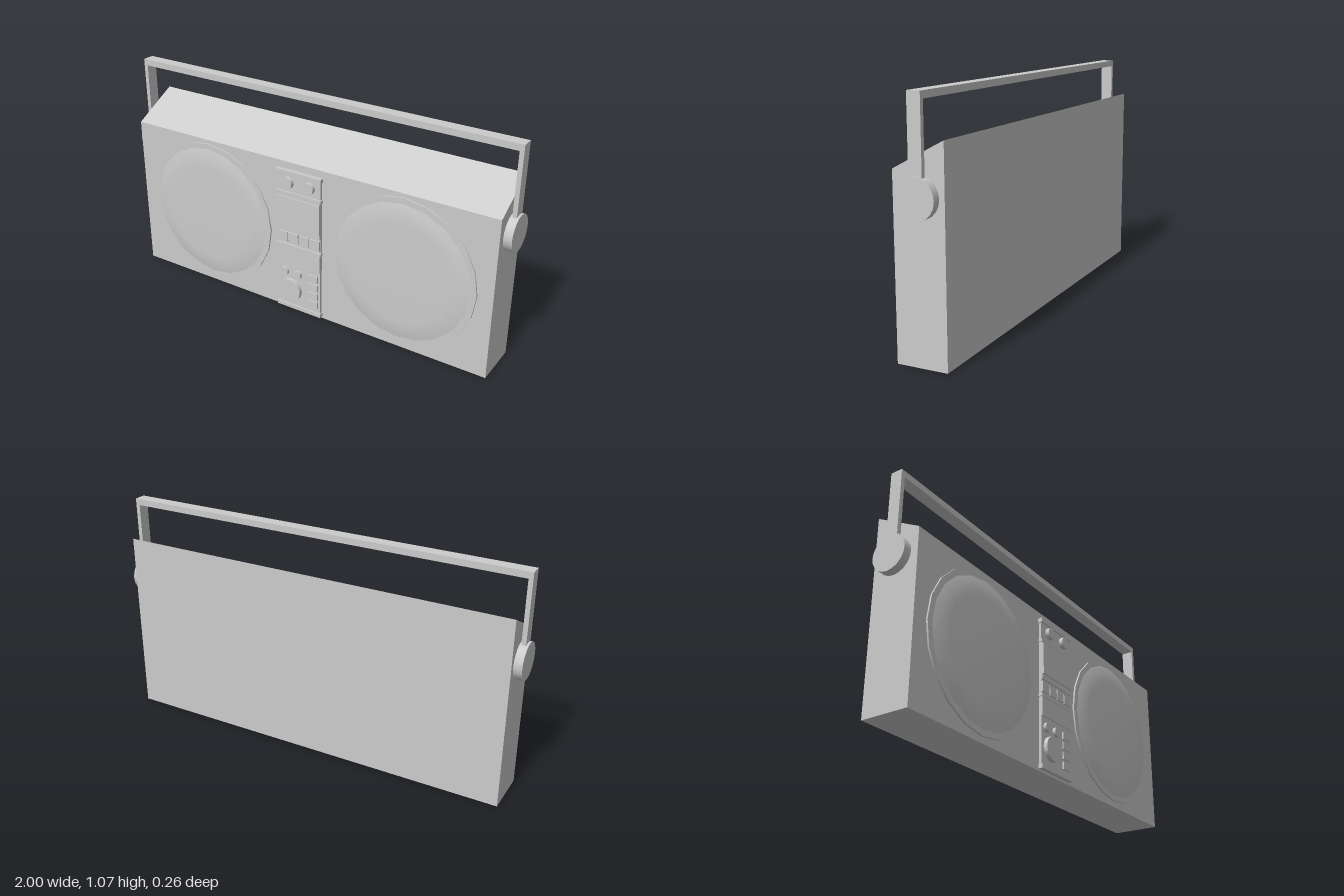
import * as THREE from 'three';

export function createModel() {
  const model = new THREE.Group();
  const mat = new THREE.MeshStandardMaterial({ color: 0xcccccc });
  const FRONT = 0.097; // front face of the case

  function add(name, geometry, x = 0, y = 0, z = 0) {
    const mesh = new THREE.Mesh(geometry, mat);
    mesh.name = name;
    mesh.position.set(x, y, z);
    model.add(mesh);
    return mesh;
  }

  // Box given by its limits
  function block(name, x0, x1, y0, y1, z0, z1) {
    return add(name, new THREE.BoxGeometry(x1 - x0, y1 - y0, z1 - z0),
      (x0 + x1) / 2, (y0 + y1) / 2, (z0 + z1) / 2);
  }

  // Round control standing out of the front panel
  function dial(name, x, y, r, z1) {
    const depth = z1 - FRONT;
    const g = new THREE.CylinderGeometry(r, r, depth, 20).rotateX(Math.PI / 2);
    return add(name, g, x, y, FRONT + depth / 2);
  }

  // Case: side profile with a sloping top, extruded across the width
  const profile = new THREE.Shape([
    [-0.097, 0], [0.128, 0], [0.128, 0.89], [-0.097, 0.77],
  ].map(([a, b]) => new THREE.Vector2(a, b)));
  const caseGeo = new THREE.ExtrudeGeometry(profile, { depth: 1.924, bevelEnabled: false });
  caseGeo.translate(0, 0, -0.962).rotateY(Math.PI / 2);
  add('case', caseGeo);

  // Handle bar, arms and pivots
  block('handleBar', -0.99, 0.99, 1.037, 1.067, -0.05, 0.008);
  for (const s of [-1, 1]) {
    const side = s > 0 ? 'left' : 'right';
    add(side + 'HandleArm', new THREE.BoxGeometry(0.02, 0.377, 0.058), s * 0.98, 0.8485, -0.021);
    const pivot = new THREE.CylinderGeometry(0.084, 0.084, 0.038, 20).rotateZ(Math.PI / 2);
    add(side + 'HandlePivot', pivot, s * 0.981, 0.67, -0.021);

    // Speaker: thin rim and a softly raised grille
    const rim = new THREE.CylinderGeometry(0.363, 0.363, 0.008, 20).rotateX(Math.PI / 2);
    add(side + 'SpeakerRim', rim, s * 0.528, 0.39, FRONT + 0.004);
    const curve = [[0.355, 0.004], [0.335, 0.008], [0.305, 0.014], [0.25, 0.02], [0, 0.02]];
    const grille = new THREE.LatheGeometry(
      curve.map(([r, h]) => new THREE.Vector2(r, h)).reverse(), 20);
    // Lathe faces are wound for a profile running upward
    const index = grille.index.array;
    for (let i = 0; i < index.length; i += 3) {
      [index[i], index[i + 1]] = [index[i + 1], index[i]];
    }
    const n = grille.attributes.normal;
    for (let i = 0; i < n.count; i++) {
      if (n.getY(i) < 0) n.setXYZ(i, -n.getX(i), -n.getY(i), -n.getZ(i));
    }
    grille.rotateX(Math.PI / 2);
    const mesh = add(side + 'SpeakerGrille', grille, s * 0.528, 0.39, FRONT);
    mesh.material = mat.clone();
    mesh.material.side = THREE.DoubleSide;
  }

  // Control panel sections and trim strips
  block('panelBase', -0.118, 0.118, 0.02, 0.72, FRONT, 0.11);
  block('tapeDoor', -0.118, 0.118, 0.455, 0.605, FRONT, 0.123);
  block('tapeFrame', -0.118, 0.118, 0.43, 0.615, FRONT, 0.117);
  block('displayPanel', -0.118, 0.118, 0.255, 0.345, FRONT, 0.115);
  for (const [y0, y1] of [[0.715, 0.735], [0.615, 0.63], [0.345, 0.358], [0.01, 0.03]]) {
    block('trimStrip', -0.123, 0.123, y0, y1, FRONT, 0.118);
  }

  // Row of tape keys and column of small buttons
  for (let i = 0; i < 4; i++) {
    const x = -0.0885 + i * 0.059;
    block('tapeKey', x - 0.027, x + 0.027, 0.37, 0.42, FRONT, 0.117);
    const y = 0.07 + i * 0.047;
    block('sideButton', 0.05, 0.105, y - 0.017, y + 0.017, FRONT, 0.117);
  }

  // Dials
  for (const x of [-0.055, 0.06]) dial('upperDial', x, 0.677, 0.028, 0.13);
  for (const x of [-0.08, -0.007]) dial('smallDial', x, 0.207, 0.022, 0.124);
  dial('tuningDial', -0.044, 0.115, 0.058, 0.13);

  return model;
}
